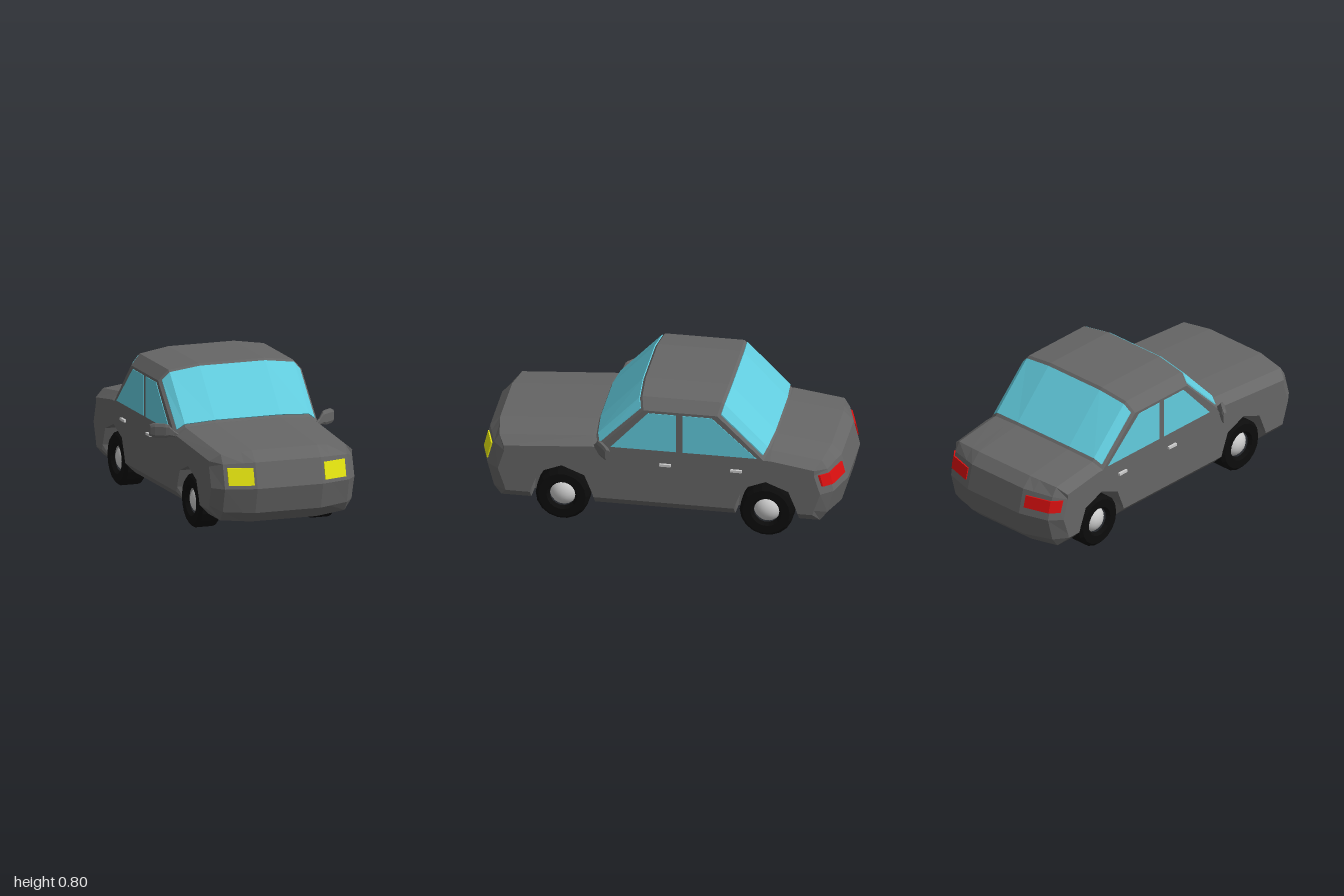
import * as THREE from 'three';

const paint = (color, flatShading = true) => new THREE.MeshStandardMaterial({ color, flatShading });
const BODY = paint(0x666666), GLASS = paint(0x62cddf), TYRE = paint(0x0c0c0c);
const YELLOW = paint(0xe6e610), RED = paint(0xdd1010), METAL = paint(0xcccccc, false);

// Linear interpolation in a table of [key, value...] rows, by |x|
function lookup(table, x) {
  const a = Math.abs(x);
  let i = 0;
  while (i < table.length - 2 && a > table[i + 1][0]) i++;
  const [p, q] = [table[i], table[i + 1]];
  const t = (a - p[0]) / (q[0] - p[0]);
  return p.slice(1).map((v, k) => v + (q[k + 1] - v) * t);
}

// Solid through cross-sections { x, pts: [z, y][] } in order of x; pts run -z along the bottom
function loft(sections) {
  const pos = [];
  const put = (s, j) => pos.push(s.x, s.pts[j][1], s.pts[j][0]);
  const n = sections[0].pts.length;
  for (let i = 0; i < sections.length - 1; i++) {
    const a = sections[i], b = sections[i + 1];
    for (let j = 0; j < n; j++) {
      const k = (j + 1) % n;
      put(a, j); put(a, k); put(b, k);
      put(a, j); put(b, k); put(b, j);
    }
  }
  for (const [s, side] of [[sections[0], -1], [sections[sections.length - 1], 1]]) {
    const v = s.pts.map(([z, y]) => new THREE.Vector2(-z, y));
    for (const [a, b, c] of THREE.ShapeUtils.triangulateShape(v, [])) {
      const ccw = THREE.ShapeUtils.area([v[a], v[b], v[c]]) * side > 0;
      for (const j of ccw ? [a, b, c] : [a, c, b]) put(s, j);
    }
  }
  const g = new THREE.BufferGeometry();
  g.setAttribute('position', new THREE.Float32BufferAttribute(pos, 3));
  g.computeVertexNormals();
  return g;
}
const mirrored = (sections) => sections.map((s) => ({ x: -s.x, pts: s.pts })).reverse();

// Body rounding by x: end inset, top drop, bottom rise
const ROUNDING = [[0, 0, 0, 0], [0.19, 0, 0, 0], [0.36, 0.05, 0.015, 0.015], [0.415, 0.115, 0.055, 0.07]];
const ARCH = [[0.175, 0], [0.165, 0.19], [0.125, 0.29], [0, 0.34], [-0.125, 0.29], [-0.165, 0.19], [-0.175, 0]];
const AXLES = [0.535, -0.585];

function bodySection(x, arched) {
  const [e, t, b] = lookup(ROUNDING, x);
  const low = 0.09 + b;
  const end = [
    [0.9 - e * 0.5, low], [0.965 - e, 0.15 + b * 0.55], [1 - e, 0.29],
    [0.965 - e, 0.43 - t * 0.5], [0.91 - e * 0.5, 0.487 - t],
  ];
  const bottom = AXLES.flatMap((c) => ARCH.map(([dz, y]) => [c + dz, arched && y ? y : low]));
  const rear = end.map(([z, y]) => [-z, y]);
  const top = [[-0.61, 0.525 - t], [0.37, 0.525 - t]];
  return { x, pts: [...bottom, ...rear, ...top, ...end.slice().reverse()] };
}

// Cabin by x: z,y of windscreen base, roof front, roof rear, rear window base
const CABIN = [
  [0, 0.37, 0.52, 0.11, 0.803, -0.345, 0.803, -0.615, 0.52],
  [0.19, 0.37, 0.52, 0.11, 0.803, -0.345, 0.803, -0.615, 0.52],
  [0.36, 0.355, 0.508, 0.1, 0.778, -0.335, 0.778, -0.6, 0.508],
  [0.415, 0.335, 0.468, 0.085, 0.72, -0.32, 0.72, -0.575, 0.468],
];
function cabinSection(x) {
  const c = lookup(CABIN, x);
  return { x, pts: [[c[0], c[1]], [c[6], c[7]], [c[4], c[5]], [c[2], c[3]]] };
}

// Glass strip wrapping the front (dir 1) or rear (dir -1) of the cabin
function screenSection(x, dir) {
  const [bf, br, tr, tf] = cabinSection(x).pts;
  const [lo, hi] = dir > 0 ? [bf, tf] : [br, tr];
  const at = (t, out) => [lo[0] + (hi[0] - lo[0]) * t + dir * out, lo[1] + (hi[1] - lo[1]) * t + out];
  const pts = [at(0.06, -0.01), at(0.95, -0.01), at(0.95, 0.004), at(0.06, 0.004)];
  return { x, pts: dir > 0 ? pts : pts.reverse() };
}

// Lamp plate following the nose (dir 1) or tail (dir -1)
function lampSection(x, y0, y1, dir) {
  const [e] = lookup(ROUNDING, x);
  const at = (y, out) => [dir * (1 - e - 0.25 * (y - 0.29) + out), y];
  const pts = [at(y0, -0.02), at(y1, -0.02), at(y1, 0.007), at(y0, 0.007)];
  return { x, pts: dir > 0 ? pts : pts.reverse() };
}

// Mirror cross-section: bevelled block around a centre
function mirrorSection([x, y, z, h, d]) {
  const ring = [[0.5, -0.3], [0.25, -0.5], [-0.25, -0.5], [-0.5, -0.3], [-0.5, 0.3], [-0.25, 0.5], [0.25, 0.5], [0.5, 0.3]];
  return { x, pts: ring.map(([a, b]) => [z + a * d, y + b * h]) };
}

function makeWheel() {
  const wheel = new THREE.Group();
  const tyreProfile = [
    [0.07, -0.045], [0.085, -0.066], [0.13, -0.066], [0.147, -0.05],
    [0.147, 0.05], [0.13, 0.066], [0.085, 0.066], [0.07, 0.045],
  ].map(([r, y]) => new THREE.Vector2(r, y));
  const tyre = new THREE.Mesh(new THREE.LatheGeometry(tyreProfile, 18).rotateZ(Math.PI / 2), TYRE);
  tyre.name = 'tyre';
  const hub = new THREE.Mesh(new THREE.SphereGeometry(0.078, 20, 12).scale(0.82, 1, 1), METAL);
  hub.name = 'hub';
  wheel.add(tyre, hub);
  return wheel;
}

export function createModel() {
  const car = new THREE.Group();
  car.name = 'car';
  const add = (name, geometry, material) => {
    const mesh = new THREE.Mesh(geometry, material);
    mesh.name = name;
    car.add(mesh);
    return mesh;
  };
  const addPair = (name, sections, material) => {
    add(name + 'Left', loft(sections), material);
    add(name + 'Right', loft(mirrored(sections)), material);
  };

  // Lower body with wheel wells cut into the outer sections
  const half = [[0.19, false], [0.25, false], [0.25, true], [0.36, true], [0.415, true]]
    .map(([x, arched]) => bodySection(x, arched));
  add('body', loft([...mirrored(half), ...half]), BODY);

  // Cabin and wrapped screens
  add('cabin', loft([-0.415, -0.36, -0.19, 0.19, 0.36, 0.415].map(cabinSection)), BODY);
  const glassX = [-0.4, -0.36, -0.19, 0.19, 0.36, 0.4];
  add('windscreen', loft(glassX.map((x) => screenSection(x, 1))), GLASS);
  add('rearWindow', loft(glassX.map((x) => screenSection(x, -1))), GLASS);

  // Side windows
  const frontPane = [[0.265, 0.48], [-0.095, 0.48], [-0.095, 0.705], [0.06, 0.705]];
  const rearPane = [[-0.13, 0.48], [-0.535, 0.48], [-0.29, 0.705], [-0.13, 0.705]];
  addPair('frontSideWindow', [0.405, 0.418].map((x) => ({ x, pts: frontPane })), GLASS);
  addPair('rearSideWindow', [0.405, 0.418].map((x) => ({ x, pts: rearPane })), GLASS);

  // Lamps
  addPair('headlight', [0.205, 0.34].map((x) => lampSection(x, 0.31, 0.403, 1)), YELLOW);
  addPair('tailLight', [0.215, 0.36, 0.4].map((x) => lampSection(x, 0.333, 0.4, -1)), RED);

  // Door mirrors: thin arm widening into the housing
  addPair('doorMirror', [
    [0.4, 0.468, 0.35, 0.025, 0.025], [0.422, 0.478, 0.338, 0.035, 0.025], [0.447, 0.494, 0.325, 0.068, 0.03],
    [0.465, 0.492, 0.312, 0.078, 0.038], [0.513, 0.491, 0.275, 0.078, 0.038], [0.532, 0.49, 0.263, 0.06, 0.025],
  ].map(mirrorSection), BODY);

  // Door handles and wheels on both sides
  for (const side of [1, -1]) {
    for (const z of [-0.035, -0.425]) {
      add('doorHandle', new THREE.BoxGeometry(0.03, 0.014, 0.062), METAL).position.set(side * 0.414, 0.396, z);
    }
    AXLES.forEach((z, i) => {
      const wheel = makeWheel();
      wheel.name = i ? 'rearWheel' : 'frontWheel';
      wheel.position.set(side * 0.334, 0.147, z);
      car.add(wheel);
    });
  }
  return car;
}
